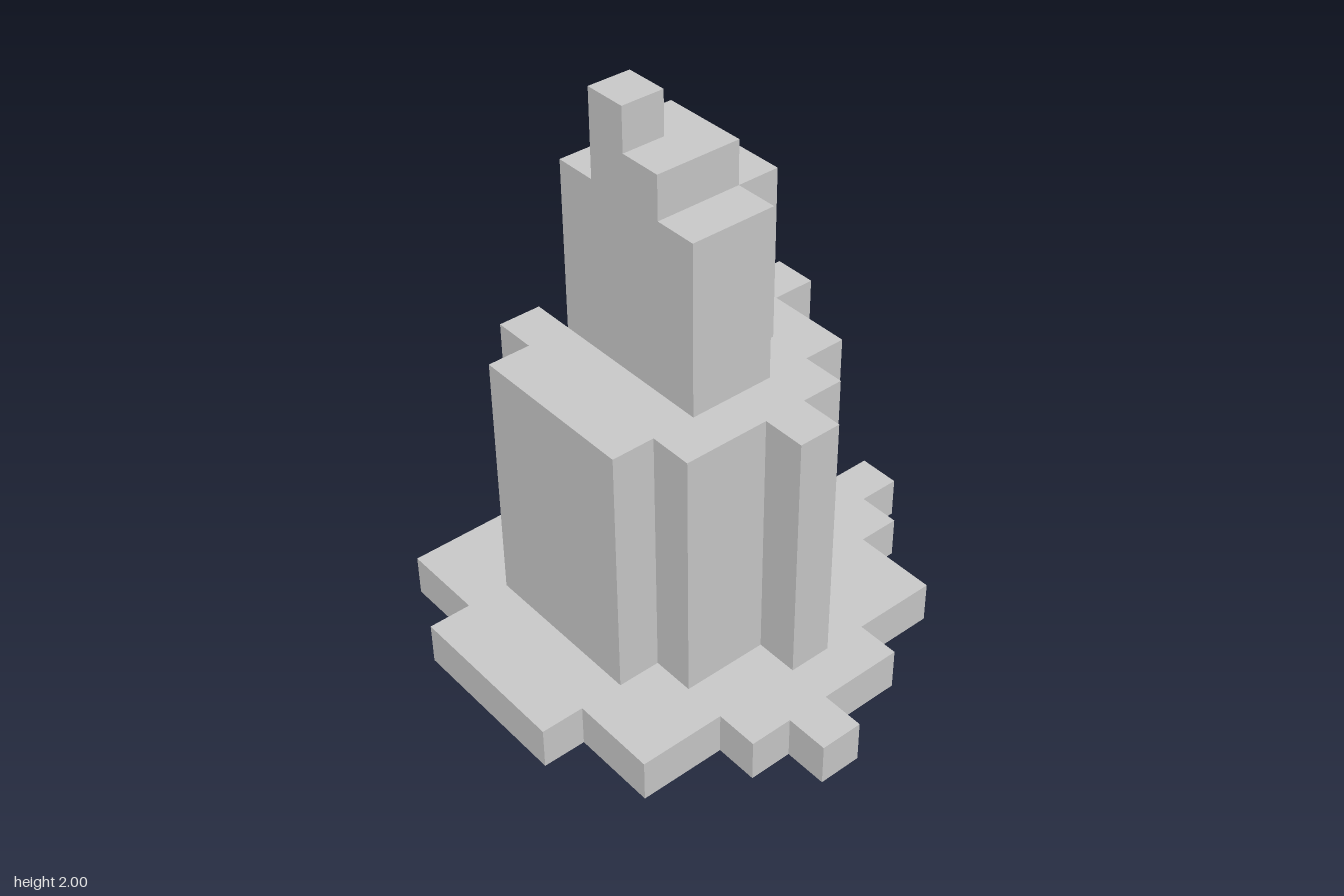
import * as THREE from 'three';

// Everything sits on a block grid: 13 blocks high, 11 blocks wide and deep.
const U = 2 / 13;

// Each tier: bottom and top in blocks, back edge z, then one [minX, maxX] per row going forward.
const TIERS = [
  {
    name: 'base', from: 0, to: 1, back: -5.5,
    rows: [[-0.5, 0.5], [-2.5, 1.5], [-4.5, 3.5], [-4.5, 3.5], [-5.5, 4.5], [-4.5, 4.5],
      [-5.5, 5.5], [-4.5, 4.5], [-4.5, 3.5], [-4.5, 3.5], [-2.5, 1.5]],
  },
  {
    name: 'lowerTower', from: 1, to: 7, back: -3.5,
    rows: [[-1.5, -0.5], [-2.5, 1.5], [-3.5, 2.5], [-3.5, 3.5], [-2.5, 2.5], [-3.5, 2.5], [-2.5, 1.5]],
  },
  {
    name: 'upperTower', from: 7, to: 11, back: -1.5,
    rows: [[-1.5, 0.5], [-1.5, 1.5], [-2.5, 1.5]],
  },
  { name: 'topStep', from: 11, to: 12, back: -0.5, rows: [[-1.5, 0.5], [-1.5, 0.5]] },
  { name: 'peak', from: 12, to: 13, back: 0.5, rows: [[-1.5, -0.5]] },
];

// Stepped outline: down the right ends of the rows, back up the left ends.
function outline({ rows, back }) {
  const side = (end) => {
    const points = [];
    rows.forEach((row, i) => {
      // Rows that share an edge become one straight run.
      if (i > 0 && rows[i - 1][end] === row[end]) points.pop();
      else points.push(new THREE.Vector2(row[end] * U, -(back + i) * U));
      points.push(new THREE.Vector2(row[end] * U, -(back + i + 1) * U));
    });
    return points;
  };
  return new THREE.Shape([...side(1), ...side(0).reverse()]);
}

export function createModel() {
  const group = new THREE.Group();
  group.name = 'steppedTower';
  const material = new THREE.MeshStandardMaterial({ color: 0xcccccc, flatShading: true });

  for (const tier of TIERS) {
    const geometry = new THREE.ExtrudeGeometry(outline(tier), {
      depth: (tier.to - tier.from) * U,
      bevelEnabled: false,
    });
    geometry.rotateX(-Math.PI / 2); // extrusion now points up
    geometry.translate(0, tier.from * U, 0);
    const mesh = new THREE.Mesh(geometry, material);
    mesh.name = tier.name;
    group.add(mesh);
  }
  return group;
}
